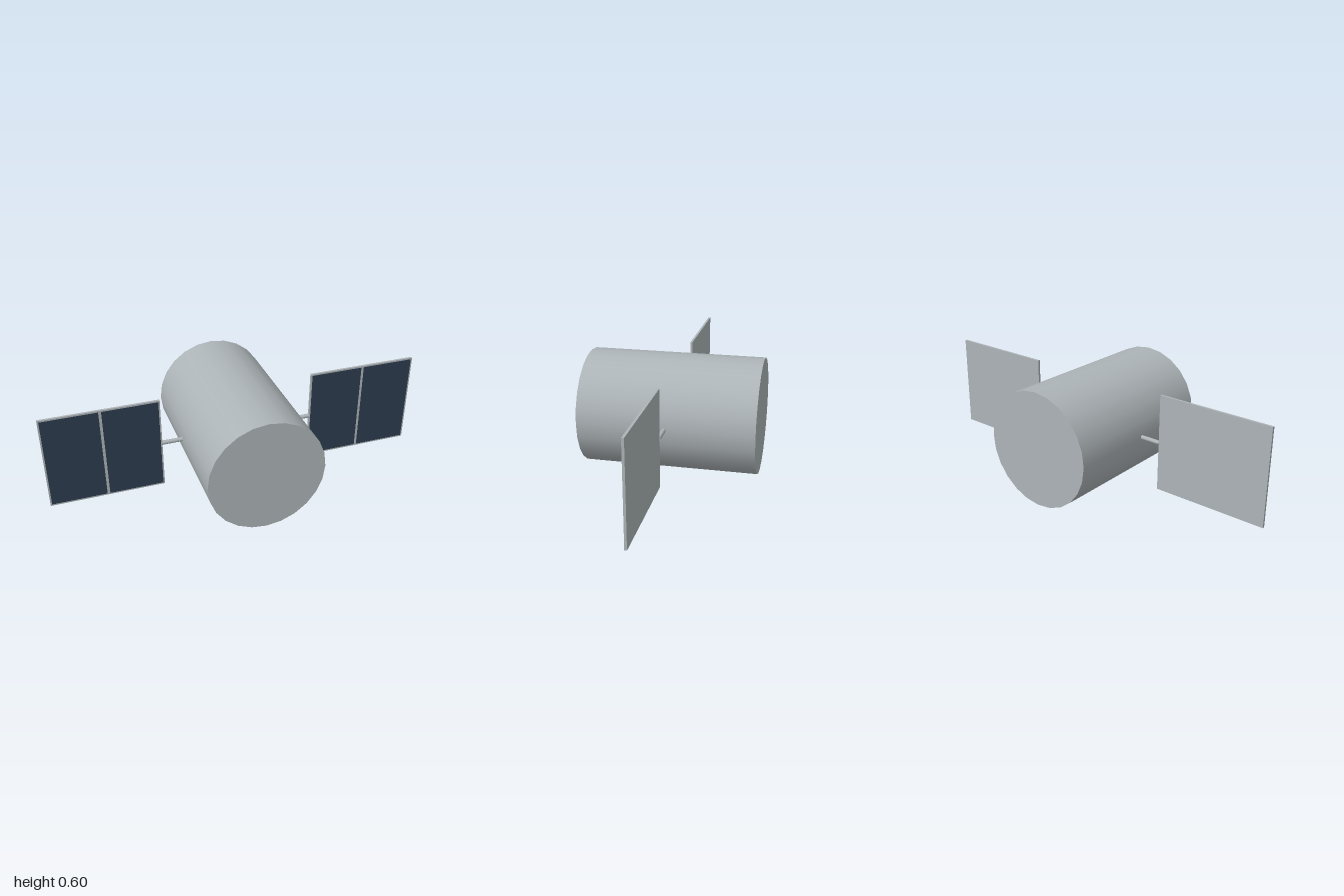
import * as THREE from 'three';

export function createModel() {
  const model = new THREE.Group();
  model.name = 'satellite';

  const metal = new THREE.MeshStandardMaterial({ color: 0xadb4b7 });
  metal.name = 'grey metal';
  const cellBlue = new THREE.MeshStandardMaterial({ color: 0x2d3c50 });
  cellBlue.name = 'dark blue cell';

  const add = (name, geometry, material, parent, x, y, z) => {
    const mesh = new THREE.Mesh(geometry, material);
    mesh.name = name;
    mesh.position.set(x, y, z);
    parent.add(mesh);
    return mesh;
  };

  // Main drum, lying along z
  const centreY = 0.3;
  const drum = new THREE.CylinderGeometry(0.3, 0.3, 0.9, 24).rotateX(Math.PI / 2);
  add('body', drum, metal, model, 0, centreY, 0);

  // One wing on each side: strut, backing panel and two front cells
  const inner = 0.405, outer = 1, depth = 0.012;
  const width = outer - inner, middle = (inner + outer) / 2;
  const margin = 0.008, gap = 0.014;
  const cellWidth = (width - 2 * margin - gap) / 2;

  for (const side of [1, -1]) {
    const wing = new THREE.Group();
    wing.name = side > 0 ? 'leftWing' : 'rightWing';
    wing.position.y = centreY;
    model.add(wing);

    const strut = new THREE.CylinderGeometry(0.011, 0.011, 0.13, 12).rotateZ(Math.PI / 2);
    add('strut', strut, metal, wing, side * 0.343, 0, 0);
    add('panel', new THREE.BoxGeometry(width, 0.506, depth), metal, wing, side * middle, 0, 0);

    for (const half of [-1, 1]) {
      const x = side * middle + half * (cellWidth + gap) / 2;
      add('solarCell', new THREE.BoxGeometry(cellWidth, 0.49, 0.002), cellBlue, wing, x, 0, depth / 2);
    }
  }
  return model;
}
